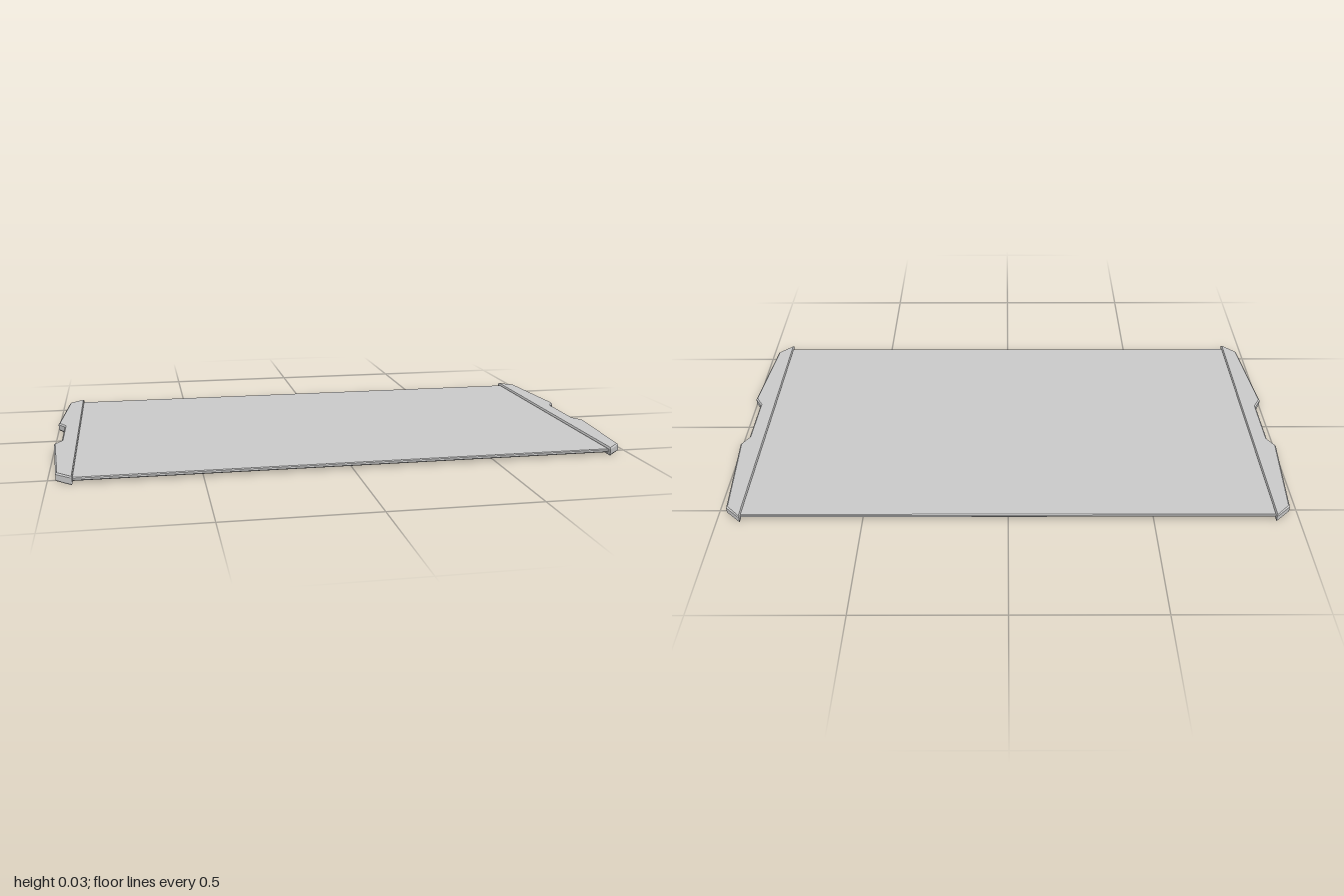
import * as THREE from 'three';

const material = new THREE.MeshStandardMaterial({ color: 0xcccccc, flatShading: true });

// Flat plate with chamfered edges from a plan outline of [x, z] points, lying between y0 and y1
function plate(name, outline, y0, y1, bevel) {
  const shape = new THREE.Shape(outline.map(([x, z]) => new THREE.Vector2(x, -z)));
  const geometry = new THREE.ExtrudeGeometry(shape, {
    depth: y1 - y0 - 2 * bevel,
    bevelEnabled: true,
    bevelThickness: bevel,
    bevelSize: bevel,
    bevelOffset: -bevel,
    bevelSegments: 1,
  });
  geometry.rotateX(-Math.PI / 2);
  geometry.translate(0, y0 + bevel, 0);
  const mesh = new THREE.Mesh(geometry, material);
  mesh.name = name;
  return mesh;
}

export function createModel() {
  const group = new THREE.Group();
  group.name = 'tray';

  // Thin main panel, its ends tucked into the end caps
  const px = 0.93, pz = 0.548;
  group.add(plate('panel', [[-px, pz], [px, pz], [px, -pz], [-px, -pz]], 0.009, 0.021, 0.003));

  // Thicker end caps with a shallow grip notch; the second is the first turned half round
  const capOutline = [
    [0.918, 0.565], [0.973, 0.512], [1, 0.157], [0.975, 0.114],
    [0.975, -0.1], [1, -0.144], [0.973, -0.514], [0.918, -0.567],
  ];
  ['leftEndCap', 'rightEndCap'].forEach((name, i) => {
    const cap = plate(name, capOutline, 0, 0.029, 0.005);
    cap.rotation.y = i * Math.PI;
    group.add(cap);
  });

  return group;
}
